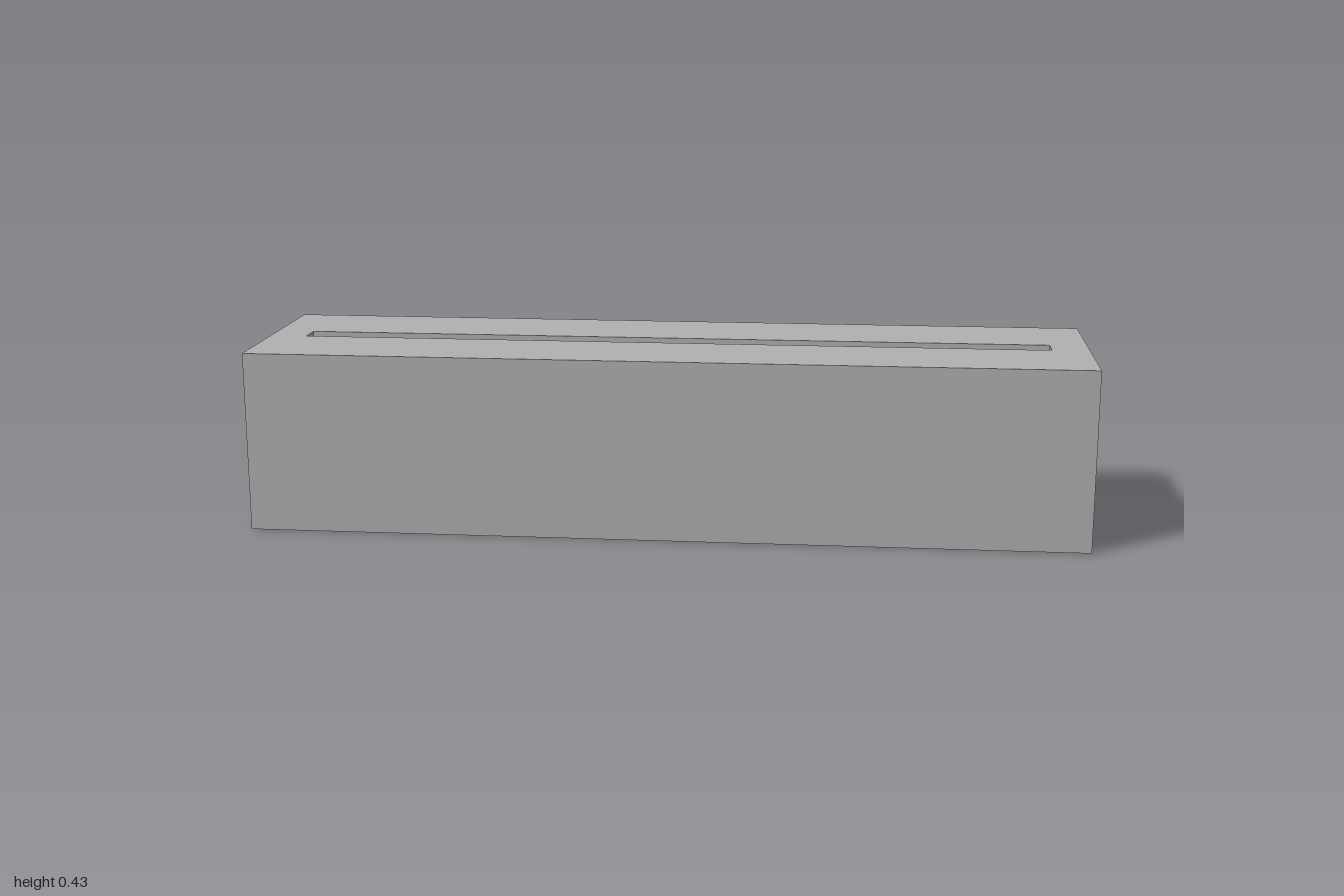
import * as THREE from 'three';

const W = 2, H = 0.433, D = 0.513;   // outer size
const T = 0.024;                     // wall thickness
const CEIL = 0.26, FLOOR = 0.284;    // cavity ceiling, slot floor
const UP = [-Math.PI / 2, 0, 0];

// Rectangle centred on x, from y0 to y1
function rect(w, y0, y1) {
  return new THREE.Shape([[-w / 2, y0], [w / 2, y0], [w / 2, y1], [-w / 2, y1]]
    .map(([x, y]) => new THREE.Vector2(x, y)));
}

function disc(x, y, r) {
  return new THREE.Shape().absarc(x, y, r, 0, Math.PI * 2, false);
}

// Round entry with a narrow rounded slot above it
function keyhole(x) {
  const R = 0.047, w = 0.021, top = 0.176, a = Math.asin(w / R);
  const s = new THREE.Shape();
  s.absarc(x, 0.084, R, Math.PI / 2 + a, Math.PI * 2.5 - a, false);
  s.absarc(x, top - w, w, 0, Math.PI, false);
  s.closePath();
  return s;
}

// Pentagonal cable opening
function cableOpening() {
  return new THREE.Shape([[-0.063, 0.033], [0.063, 0.033], [0.063, 0.08], [0, 0.135], [-0.063, 0.08]]
    .map(([x, y]) => new THREE.Vector2(x, y)));
}

// Flat face with holes
function panel(shape, holes = []) {
  shape.holes.push(...holes);
  return new THREE.ShapeGeometry(shape, 24);
}

// Side walls only of a cut, running from z = 0 back to z = -depth
function cutWalls(shape, depth) {
  const full = new THREE.ExtrudeGeometry(shape, { depth, bevelEnabled: false, curveSegments: 24 });
  const { start, count } = full.groups[1];
  const p = full.attributes.position.array.slice(start * 3, (start + count) * 3);
  const g = new THREE.BufferGeometry();
  g.setAttribute('position', new THREE.BufferAttribute(p, 3));
  g.translate(0, 0, -depth);
  g.computeVertexNormals();
  return g;
}

export function createModel() {
  const model = new THREE.Group();
  model.name = 'slottedHousing';
  const grey = new THREE.MeshStandardMaterial({ color: 0xb0b0b0, side: THREE.DoubleSide });
  grey.name = 'grey';

  function add(name, geometry, rotation = [0, 0, 0], position = [0, 0, 0], parent = model) {
    const m = new THREE.Mesh(geometry, grey);
    m.name = name;
    m.rotation.set(...rotation);
    m.position.set(...position);
    parent.add(m);
  }

  // Four walls: outer skin, inner skin and the edges of their openings
  const walls = [
    ['front', 0, W, D, () => []],
    ['back', Math.PI, W, D, () => [keyhole(-0.68), keyhole(0.68)]],
    ['left', Math.PI / 2, D, W, () => []],
    ['right', -Math.PI / 2, D, W, () => [cableOpening()]],
  ];
  for (const [side, turn, width, across, openings] of walls) {
    const wall = new THREE.Group();
    wall.name = side + 'Wall';
    wall.rotation.y = turn;
    model.add(wall);
    const z = across / 2;
    add(side + 'Outside', panel(rect(width, 0, H), openings()), [0, 0, 0], [0, 0, z], wall);
    add(side + 'Inside', panel(rect(width - 2 * T, 0, CEIL), openings()), [0, 0, 0], [0, 0, z - T], wall);
    for (const o of openings()) add(side + 'Opening', cutWalls(o, T), [0, 0, 0], [0, 0, z], wall);
  }

  // Bottom rim around the open cavity
  const inner = rect(W - 2 * T, -D / 2 + T, D / 2 - T);
  add('bottomRim', panel(rect(W, -D / 2, D / 2), [inner]), UP);

  // Top with its long slot, and the wire hole down into the cavity
  const slot = () => rect(1.82, -0.03, 0.03);
  const wireHole = () => disc(-0.866, 0, 0.029);
  add('top', panel(rect(W, -D / 2, D / 2), [slot()]), UP, [0, H, 0]);
  add('slotWalls', cutWalls(slot(), H - FLOOR), UP, [0, H, 0]);
  add('slotFloor', panel(slot(), [wireHole()]), UP, [0, FLOOR, 0]);
  add('wireHole', cutWalls(wireHole(), FLOOR - CEIL), UP, [0, FLOOR, 0]);
  add('ceiling', panel(rect(W - 2 * T, -D / 2 + T, D / 2 - T), [wireHole()]), UP, [0, CEIL, 0]);

  // Corner screw posts with blind holes
  const R = 0.04, r = 0.018, deep = 0.15;
  for (const sx of [-1, 1]) for (const sz of [-1, 1]) {
    const post = new THREE.Group();
    post.name = 'screwPost';
    post.position.set(sx * 0.946, 0, sz * 0.2);
    model.add(post);
    add('postBody', new THREE.CylinderGeometry(R, R, CEIL, 32, 1, true), [0, 0, 0], [0, CEIL / 2, 0], post);
    add('postEnd', new THREE.RingGeometry(r, R, 32), [Math.PI / 2, 0, 0], [0, 0, 0], post);
    add('screwHole', new THREE.CylinderGeometry(r, r, deep, 24, 1, true), [0, 0, 0], [0, deep / 2, 0], post);
    add('screwHoleEnd', new THREE.CircleGeometry(r, 24), [Math.PI / 2, 0, 0], [0, deep, 0], post);
  }
  return model;
}
